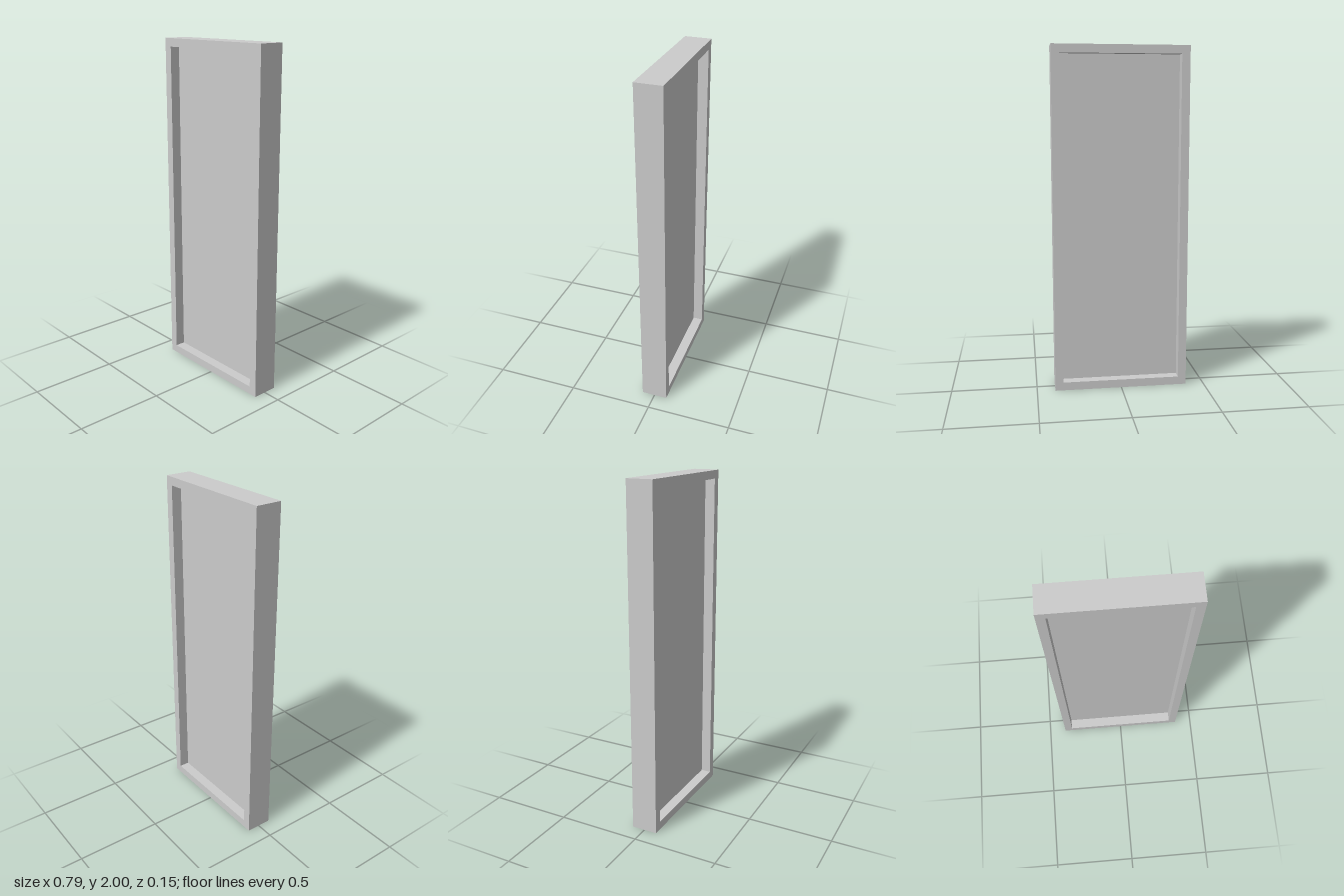
import * as THREE from 'three';

const WIDTH = 0.786, HEIGHT = 2, DEPTH = 0.154;
const RIM = 0.048, PANEL_DEPTH = 0.034;

// Adds an upright rectangle, centred on x = 0, to a shape or hole path
function rectangle(path, inset) {
  const x = WIDTH / 2 - inset, top = HEIGHT - inset;
  path.moveTo(-x, inset);
  path.lineTo(x, inset);
  path.lineTo(x, top);
  path.lineTo(-x, top);
  path.closePath();
  return path;
}

export function createModel() {
  const group = new THREE.Group();
  group.name = 'framedPanel';
  const material = new THREE.MeshStandardMaterial({ color: 0xcccccc, flatShading: true });

  // Rectangular frame, open through the middle
  const outline = rectangle(new THREE.Shape(), 0);
  outline.holes.push(rectangle(new THREE.Path(), RIM));
  const frameGeometry = new THREE.ExtrudeGeometry(outline, { depth: DEPTH, bevelEnabled: false });
  frameGeometry.translate(0, 0, -DEPTH / 2);
  const frame = new THREE.Mesh(frameGeometry, material);
  frame.name = 'frame';

  // Thin panel at mid-depth, recessed on both faces
  const panel = new THREE.Mesh(
    new THREE.BoxGeometry(WIDTH - 2 * RIM, HEIGHT - 2 * RIM, PANEL_DEPTH), material);
  panel.name = 'panel';
  panel.position.y = HEIGHT / 2;

  group.add(frame, panel);
  return group;
}
